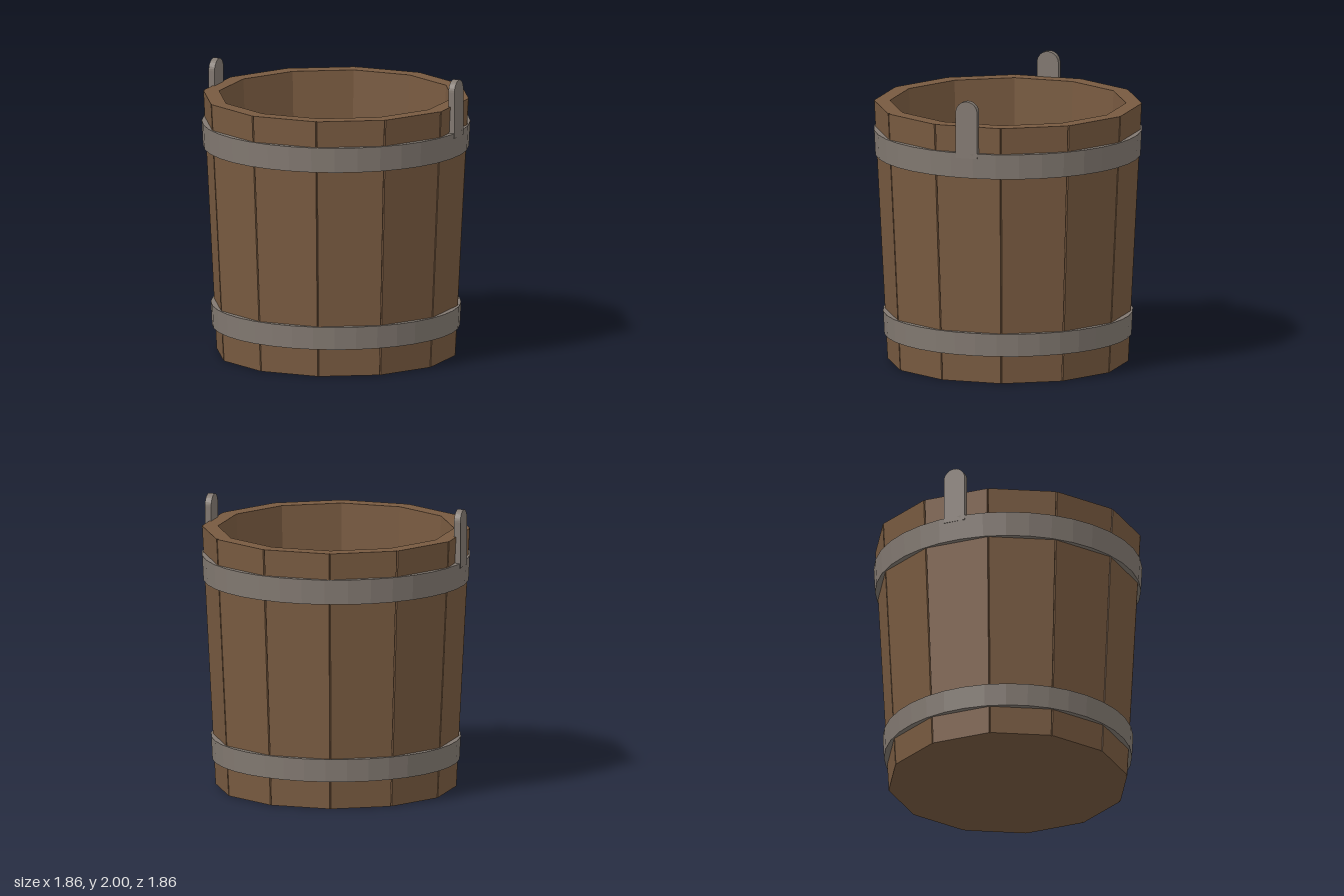
import * as THREE from 'three';

const STAVES = 12;
const TWIST = THREE.MathUtils.degToRad(2.2);
const STEP = (Math.PI * 2) / STAVES;

// Twelve-sided ring with a fine notch of the given depth at each stave joint
function staveRing(radius, y, notch) {
  const points = [];
  const corner = k => {
    const a = TWIST + k * STEP;
    return new THREE.Vector3(Math.sin(a) * radius, y, Math.cos(a) * radius);
  };
  for (let k = 0; k < STAVES; k++) {
    const c = corner(k);
    const joint = c.clone();
    joint.x *= 1 - notch;
    joint.z *= 1 - notch;
    points.push(c.clone().lerp(corner(k - 1), 0.012), joint, c.clone().lerp(corner(k + 1), 0.012));
  }
  return points;
}

// Skin consecutive rings with flat quads
function skin(rings) {
  const positions = [];
  for (let r = 0; r < rings.length - 1; r++) {
    const lower = rings[r], upper = rings[r + 1], n = lower.length;
    for (let i = 0; i < n; i++) {
      const j = (i + 1) % n;
      for (const p of [lower[i], lower[j], upper[j], lower[i], upper[j], upper[i]]) {
        positions.push(p.x, p.y, p.z);
      }
    }
  }
  const geometry = new THREE.BufferGeometry();
  geometry.setAttribute('position', new THREE.Float32BufferAttribute(positions, 3));
  geometry.computeVertexNormals();
  return geometry;
}

export function createModel() {
  const wood = new THREE.MeshStandardMaterial({ color: 0x785a40, flatShading: true });
  wood.name = 'brown wood';
  const metal = new THREE.MeshStandardMaterial({ color: 0x827971, flatShading: true });
  metal.name = 'grey metal';

  const bucket = new THREE.Group();
  bucket.name = 'bucket';
  const add = (name, geometry, material) => {
    const mesh = new THREE.Mesh(geometry, material);
    mesh.name = name;
    bucket.add(mesh);
    return mesh;
  };

  // Tapered staves: underside, outer wall, rim, inner wall, floor
  add('staves', skin([
    staveRing(0, 0, 0),
    staveRing(0.835, 0, 0.014),
    staveRing(0.928, 1.82, 0.014),
    staveRing(0.818, 1.82, 0),
    staveRing(0.75, 0.22, 0),
    staveRing(0, 0.22, 0),
  ]), wood);

  // Round hoops, wider than the flat staves
  const hoop = (name, y0, r0, y1, r1) => {
    const profile = [[0.06, y0], [0, y0], [0, y1], [0.06, y1]]
      .map(([inset, y], i) => new THREE.Vector2((i < 2 ? r0 : r1) - inset, y));
    add(name, new THREE.LatheGeometry(profile, 36), metal);
  };
  hoop('lowerHoop', 0.195, 0.858, 0.355, 0.866);
  hoop('upperHoop', 1.46, 0.92, 1.635, 0.929);

  // Two upright round-topped lugs on opposite staves
  const half = 0.078, thick = 0.045;
  const outline = new THREE.Shape();
  outline.moveTo(-half, 1.6);
  outline.lineTo(half, 1.6);
  outline.lineTo(half, 2 - half);
  outline.absarc(0, 2 - half, half, 0, Math.PI, false);
  outline.closePath();
  const lugGeometry = new THREE.ExtrudeGeometry(outline, { depth: thick, bevelEnabled: false, curveSegments: 8 });
  lugGeometry.translate(0, 0, 0.882);
  ['frontLug', 'backLug'].forEach((name, i) => {
    add(name, lugGeometry, metal).rotation.y = TWIST + STEP / 2 + i * Math.PI;
  });

  return bucket;
}
